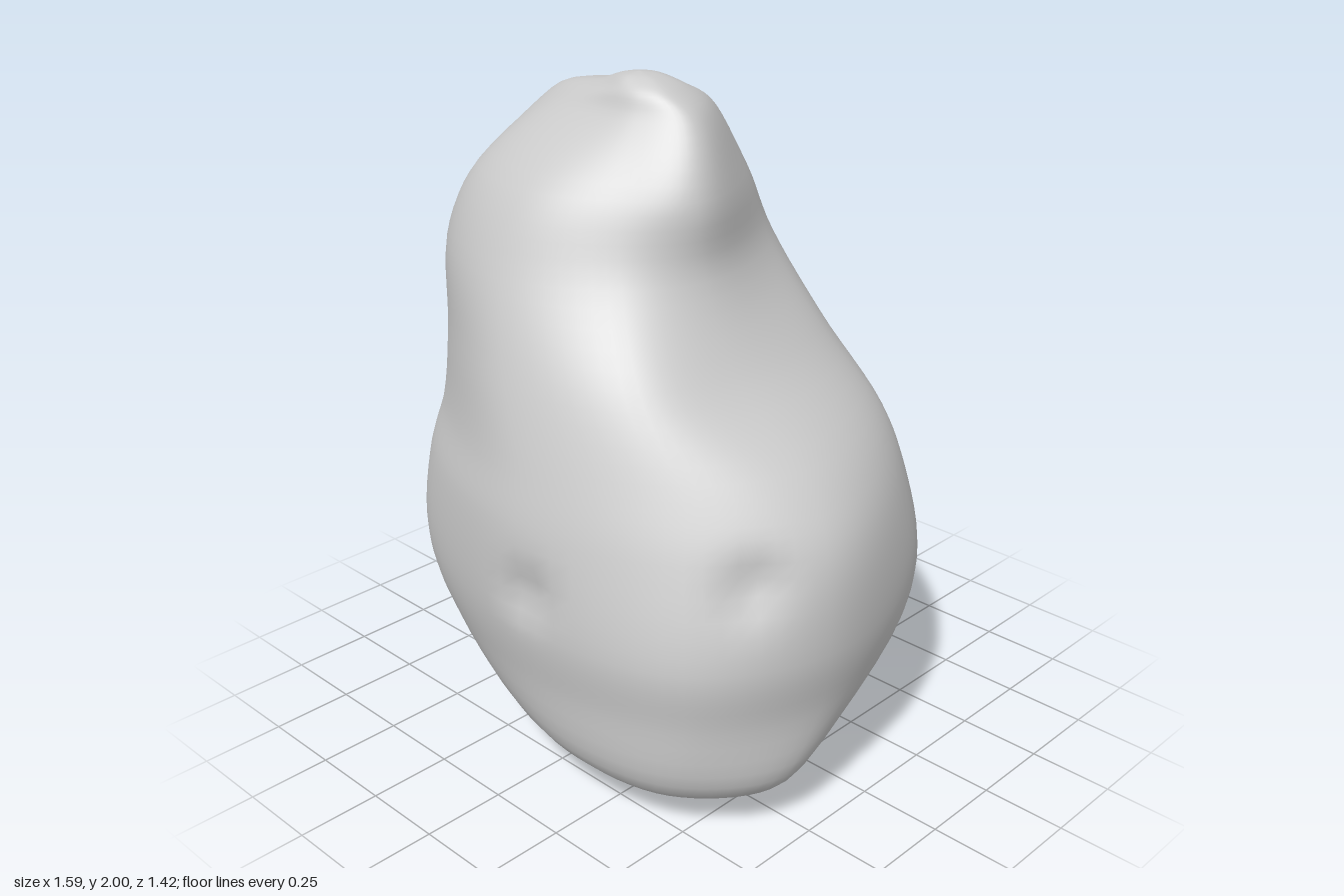
import * as THREE from 'three';
import { mergeVertices } from 'three/addons/utils/BufferGeometryUtils.js';

// Rib directions in degrees, from +x turning towards +z
const ANGLES = [13, 45, 90, 145, 180, 220, 261, 295, 325];

// Cross-sections: height, centre x, centre z, then one radius per rib
const SECTIONS = [
  [0.05, 0.10, 0.15, 0.41, 0.37, 0.25, 0.23, 0.28, 0.26, 0.24, 0.25, 0.28],
  [0.16, 0.10, 0.15, 0.61, 0.57, 0.46, 0.48, 0.48, 0.43, 0.39, 0.39, 0.42],
  [0.40, 0, 0, 0.78, 0.80, 0.67, 0.74, 0.70, 0.61, 0.54, 0.54, 0.67],
  [0.58, 0, 0, 0.81, 0.82, 0.70, 0.79, 0.79, 0.71, 0.72, 0.63, 0.72],
  [0.85, 0, 0, 0.79, 0.75, 0.70, 0.76, 0.75, 0.71, 0.68, 0.60, 0.67],
  [1.02, 0, 0, 0.69, 0.68, 0.67, 0.71, 0.73, 0.67, 0.61, 0.56, 0.60],
  [1.25, -0.10, 0.05, 0.53, 0.59, 0.57, 0.58, 0.615, 0.60, 0.58, 0.53, 0.53],
  [1.50, -0.17, 0.05, 0.46, 0.48, 0.50, 0.52, 0.50, 0.50, 0.49, 0.44, 0.42],
  [1.70, -0.15, 0.08, 0.43, 0.37, 0.37, 0.42, 0.43, 0.43, 0.38, 0.36, 0.36],
  [1.90, -0.10, 0.07, 0.29, 0.22, 0.17, 0.22, 0.31, 0.25, 0.18, 0.19, 0.22],
  [1.96, -0.03, 0.12, 0.14, 0.11, 0.09, 0.10, 0.14, 0.13, 0.12, 0.12, 0.13],
  [1.99, -0.02, 0.13, 0.06, 0.05, 0.05, 0.05, 0.06, 0.06, 0.06, 0.06, 0.06],
];
const BOTTOM = new THREE.Vector3(0, 0, 0.06);
const TOP = new THREE.Vector3(-0.02, 2, 0.13);

// Small hollows in the surface: centre, radius, depth
const DENTS = [
  [new THREE.Vector3(0.10, 0.68, 0.70), 0.11, 0.04],
  [new THREE.Vector3(0.66, 0.79, 0.40), 0.12, 0.04],
  [new THREE.Vector3(-0.53, 0.94, -0.46), 0.16, 0.03],
  [new THREE.Vector3(0.24, 0.83, -0.58), 0.14, 0.02],
];

function stoneGeometry(rings = 72, sides = 81) {
  // Smooth ribs running from the bottom to the top
  const ribs = ANGLES.map((degrees, k) => {
    const a = THREE.MathUtils.degToRad(degrees);
    const pts = SECTIONS.map(([y, cx, cz, ...r]) =>
      new THREE.Vector3(cx + r[k] * Math.cos(a), y, cz + r[k] * Math.sin(a)));
    return new THREE.CatmullRomCurve3([BOTTOM, ...pts, TOP]);
  });

  // Closed rings threaded through the ribs, pressed in at the hollows
  const pos = [];
  const index = [];
  for (let i = 0; i <= rings; i++) {
    const atPole = i === 0 || i === rings;
    const ring = new THREE.CatmullRomCurve3(ribs.map((c) => c.getPoint(i / rings)), true);
    for (let j = 0; j < sides; j++) {
      const p = atPole ? (i ? TOP : BOTTOM).clone() : ring.getPoint(j / sides);
      for (const [c, radius, depth] of DENTS) {
        const push = depth * Math.exp(-2.5 * (p.distanceTo(c) / radius) ** 2);
        p.addScaledVector(new THREE.Vector3(-c.x, 0, -c.z).normalize(), push);
      }
      pos.push(p.x, p.y, p.z);
      if (i === rings) continue;
      const a = i * sides + j;
      const b = i * sides + ((j + 1) % sides);
      if (i < rings - 1) index.push(a + sides, b + sides, b);
      if (i > 0) index.push(a, a + sides, b);
    }
  }
  const geo = new THREE.BufferGeometry();
  geo.setAttribute('position', new THREE.Float32BufferAttribute(pos, 3));
  geo.setIndex(index);
  const merged = mergeVertices(geo, 1e-5);
  merged.computeVertexNormals();
  return merged;
}

export function createModel() {
  const group = new THREE.Group();
  group.name = 'rock';
  const stone = new THREE.Mesh(stoneGeometry(), new THREE.MeshStandardMaterial({ color: 0xcccccc }));
  stone.name = 'stone';
  group.add(stone);
  return group;
}
